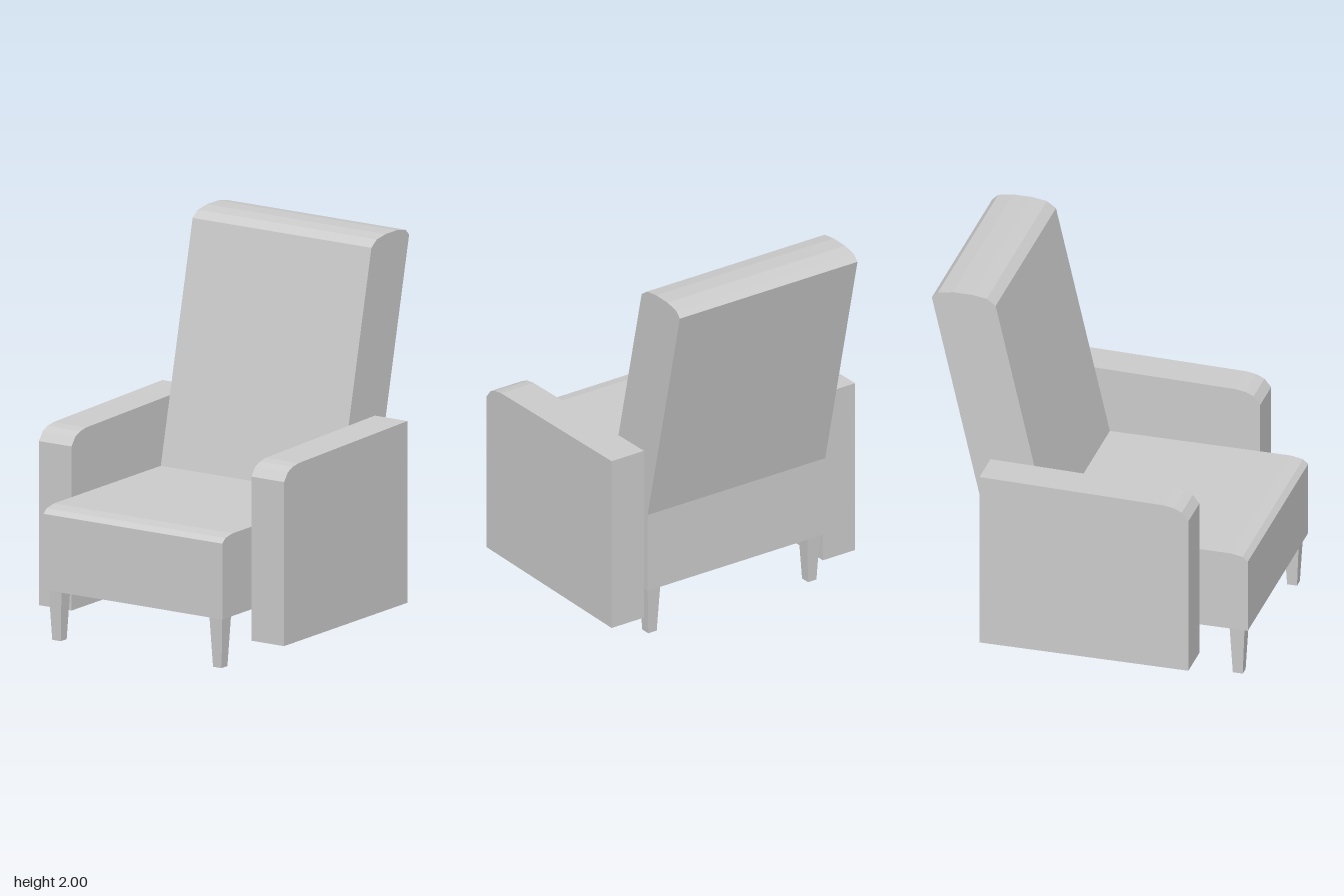
import * as THREE from 'three';

const material = new THREE.MeshStandardMaterial({ color: 0xcccccc, flatShading: true });

// Side profile given as [z, y] points, extruded across x and centred on x = 0
function sideExtrusion(name, points, width) {
  const shape = new THREE.Shape(points.map(([z, y]) => new THREE.Vector2(z, y)));
  const geometry = new THREE.ExtrudeGeometry(shape, { depth: width, bevelEnabled: false });
  geometry.translate(0, 0, -width / 2).rotateY(-Math.PI / 2);
  const mesh = new THREE.Mesh(geometry, material);
  mesh.name = name;
  return mesh;
}

// Square leg tapering towards the floor
function taperedLeg(name, x, z) {
  const height = 0.27;
  const geometry = new THREE.CylinderGeometry(0.04 * Math.SQRT2, 0.0265 * Math.SQRT2, height, 4);
  geometry.rotateY(Math.PI / 4);
  const leg = new THREE.Mesh(geometry, material);
  leg.name = name;
  leg.position.set(x, height / 2, z);
  return leg;
}

export function createModel() {
  const chair = new THREE.Group();
  chair.name = 'armchair';

  // Seat and reclined backrest, one upholstered body
  chair.add(sideExtrusion('seatAndBackrest', [
    [-0.555, 0.268], [0.842, 0.268], [0.842, 0.668], [0.815, 0.692], [0.75, 0.704],
    [-0.215, 0.704], [-0.502, 1.953], [-0.55, 1.987], [-0.63, 1.999], [-0.73, 1.999],
    [-0.81, 1.985], [-0.842, 1.953], [-0.555, 0.704],
  ], 1.112));

  // Armrests with a rounded front top edge
  const armProfile = [
    [-0.528, 0.104], [0.585, 0.104], [0.585, 0.97], [0.55, 1.015],
    [0.507, 1.034], [0.455, 1.043], [-0.528, 1.063],
  ];
  for (const [side, s] of [['left', 1], ['right', -1]]) {
    const arm = sideExtrusion(`${side}Armrest`, armProfile, 0.203);
    arm.position.x = s * 0.661;
    chair.add(arm);

    // Front and back legs
    chair.add(taperedLeg(`${side}FrontLeg`, s * 0.5, 0.78));
    chair.add(taperedLeg(`${side}BackLeg`, s * 0.5, -0.492));
  }
  return chair;
}
